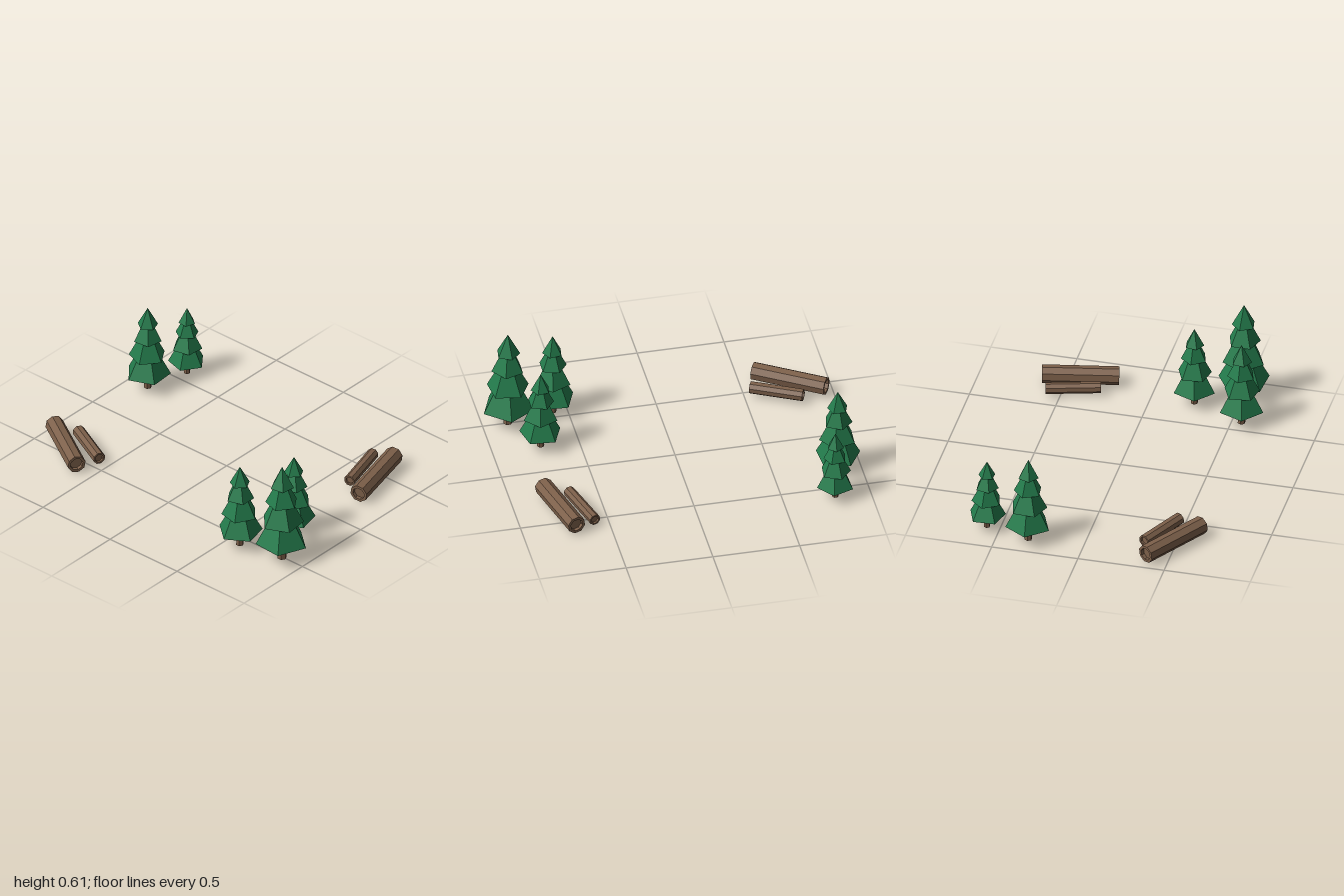
import * as THREE from 'three';

const green = new THREE.MeshStandardMaterial({ color: 0x237a4b, flatShading: true });
const brown = new THREE.MeshStandardMaterial({ color: 0x7d604a, flatShading: true });

// Foliage tiers as fractions of tree height: [bottom y, top y, bottom radius, top radius]
const TIERS = [
  [0.175, 0.42, 0.247, 0.12],
  [0.395, 0.63, 0.202, 0.085],
  [0.605, 0.80, 0.155, 0.06],
  [0.784, 1.0, 0.113, 0],
];

// Five-sided fir; angle is the direction of one base corner in the x-z plane
function makeTree(x, z, h, angle) {
  const tree = new THREE.Group();
  tree.name = 'tree';
  const trunkH = 0.22 * h;
  const trunk = new THREE.Mesh(new THREE.CylinderGeometry(0.038 * h, 0.043 * h, trunkH, 6), brown);
  trunk.position.y = trunkH / 2;
  trunk.name = 'trunk';
  tree.add(trunk);
  TIERS.forEach(([y0, y1, r0, r1], i) => {
    const start = Math.PI / 2 - THREE.MathUtils.degToRad(angle) + i * 0.5;
    const geo = new THREE.CylinderGeometry(r1 * h, r0 * h, (y1 - y0) * h, 5, 1, false, start);
    const tier = new THREE.Mesh(geo, green);
    tier.position.y = ((y0 + y1) / 2) * h;
    tier.name = 'foliageTier';
    tree.add(tier);
  });
  tree.position.set(x, 0, z);
  return tree;
}

// Eight-sided log with recessed ends, lying along a direction
function makeLog(x, y, z, r, length, dir) {
  const h = length / 2, inner = r * 0.7, d = r * 0.4;
  const profile = [
    [0, d - h], [inner, d - h], [inner, -h], [r, -h],
    [r, h], [inner, h], [inner, h - d], [0, h - d],
  ].map(([a, b]) => new THREE.Vector2(a, b));
  const log = new THREE.Mesh(new THREE.LatheGeometry(profile, 8), brown);
  log.quaternion.setFromUnitVectors(
    new THREE.Vector3(0, 1, 0), new THREE.Vector3(...dir).normalize());
  log.position.set(x, y, z);
  log.name = 'log';
  return log;
}

export function createModel() {
  const model = new THREE.Group();
  model.name = 'woodland';

  // Front right cluster and back left pair
  for (const t of [
    [-0.505, 0.853, 0.61, 4],
    [-0.25, 0.72, 0.493, -31],
    [-0.557, 0.584, 0.52, -32],
    [0.32, -0.868, 0.53, -22],
    [0.577, -0.798, 0.433, 16],
  ]) model.add(makeTree(...t));

  // Two pairs of fallen logs
  for (const l of [
    [0.418, 0.061, 0.754, 0.053, 0.435, [80, 2, -19]],
    [0.43, 0.05, 0.63, 0.033, 0.313, [57, 0, -16]],
    [-0.497, 0.061, -0.77, 0.053, 0.437, [44, 0, -70]],
    [-0.405, 0.052, -0.675, 0.036, 0.307, [26, 0, -52]],
  ]) model.add(makeLog(...l));

  return model;
}
